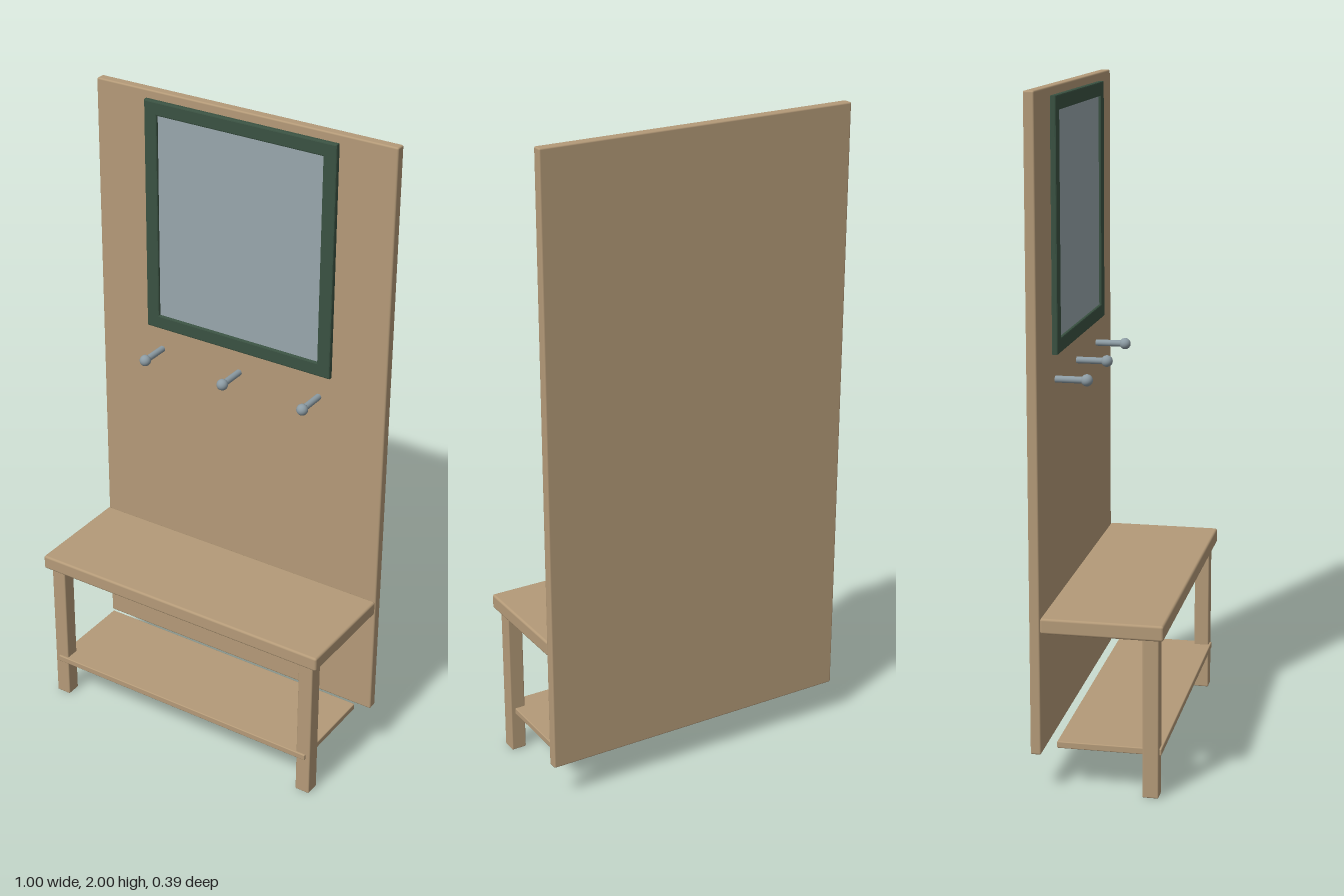
import * as THREE from 'three';
import { RoundedBoxGeometry } from 'three/addons/geometries/RoundedBoxGeometry.js';

const material = (name, color) => {
  const m = new THREE.MeshStandardMaterial({ color });
  m.name = name;
  return m;
};

export function createModel() {
  const wood = material('wood', 0xb49a78);
  const green = material('dark green paint', 0x3a5242);
  const glass = material('mirror glass', 0x98a6ac);
  const metal = material('peg metal', 0x8c9ba3);

  const group = new THREE.Group();
  group.name = 'hallwayBench';

  const add = (name, geometry, mat, x = 0, y = 0, z = 0, parent = group) => {
    const mesh = new THREE.Mesh(geometry, mat);
    mesh.name = name;
    mesh.position.set(x, y, z);
    parent.add(mesh);
    return mesh;
  };

  // Softly rounded board given by its limits on each axis
  const board = (name, [x0, x1], [y0, y1], [z0, z1], radius = 0.005) =>
    add(name, new RoundedBoxGeometry(x1 - x0, y1 - y0, z1 - z0, 2, radius), wood,
      (x0 + x1) / 2, (y0 + y1) / 2, (z0 + z1) / 2);

  // Back panel, seat and shoe shelf
  board('backPanel', [-0.5, 0.5], [0.115, 2], [-0.194, -0.163]);
  board('seat', [-0.5, 0.5], [0.48, 0.526], [-0.163, 0.192], 0.007);
  board('shelf', [-0.465, 0.465], [0.126, 0.146], [-0.124, 0.182], 0.003);

  // Front legs
  for (const [name, side] of [['leftLeg', 1], ['rightLeg', -1]]) {
    const x = side * 0.456;
    board(name, [x - 0.024, x + 0.024], [0, 0.482], [0.129, 0.176], 0.004);
  }

  // Mirror frame with bevelled edges
  const rectangle = (shape, w, h) => {
    shape.moveTo(-w, -h);
    shape.lineTo(w, -h);
    shape.lineTo(w, h);
    shape.lineTo(-w, h);
    shape.closePath();
    return shape;
  };
  const bevel = 0.004;
  const outline = rectangle(new THREE.Shape(), 0.321 - bevel, 0.363 - bevel);
  outline.holes.push(rectangle(new THREE.Path(), 0.278 + bevel, 0.32 + bevel));
  const frame = new THREE.ExtrudeGeometry(outline, {
    depth: 0.01, bevelEnabled: true, bevelSize: bevel, bevelThickness: bevel, bevelSegments: 2,
  });
  add('mirrorFrame', frame, green, 0, 1.613, -0.159);
  add('mirrorGlass', new THREE.BoxGeometry(0.57, 0.654, 0.008), glass, 0, 1.613, -0.157);

  // Coat pegs: round stem with a ball end
  const stem = new THREE.CylinderGeometry(0.01, 0.01, 0.094, 24).rotateX(Math.PI / 2);
  const ball = new THREE.SphereGeometry(0.0175, 24, 16);
  for (const x of [-0.279, 0, 0.277]) {
    const peg = new THREE.Group();
    peg.name = 'coatPeg';
    peg.position.set(x, 1.172, -0.163);
    add('pegStem', stem, metal, 0, 0, 0.045, peg);
    add('pegBall', ball, metal, 0, 0, 0.092, peg);
    group.add(peg);
  }

  return group;
}
